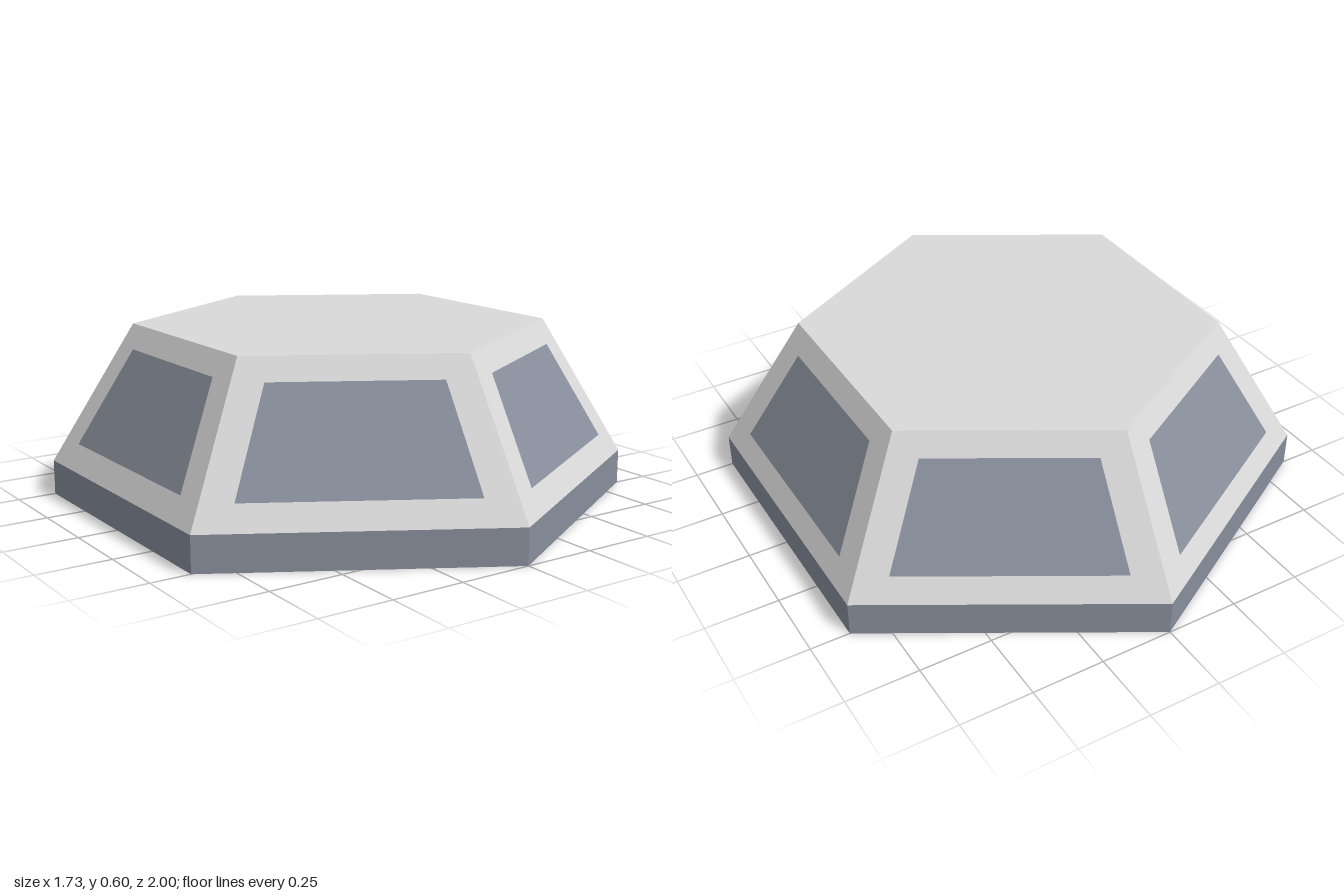
import * as THREE from 'three';

const SIDES = 6;
const RIM_Y = 0.12, TOP_Y = 0.6, TOP_R = 0.71;
const APOTHEM = Math.cos(Math.PI / SIDES);

// Hexagonal shell from a bottom-to-top profile, with crisp facets
function hexShell(points) {
  const profile = points.map(([r, y]) => new THREE.Vector2(r, y));
  const geometry = new THREE.LatheGeometry(profile, SIDES).toNonIndexed();
  geometry.computeVertexNormals();
  return geometry;
}

export function createModel() {
  const frameMat = new THREE.MeshStandardMaterial({ name: 'light grey', color: 0xd9d9d9, flatShading: true });
  const slateMat = new THREE.MeshStandardMaterial({ name: 'slate grey', color: 0x888f9c, flatShading: true });

  const model = new THREE.Group();
  model.name = 'hexagonalDome';
  const add = (parent, name, geometry, material) => {
    const mesh = new THREE.Mesh(geometry, material);
    mesh.name = name;
    parent.add(mesh);
    return mesh;
  };

  // Base slab with its underside, then the sloped frame and flat roof
  add(model, 'base', hexShell([[0, 0], [1, 0], [1, RIM_Y]]), slateMat);
  add(model, 'frame', hexShell([[1, RIM_Y], [TOP_R, TOP_Y], [0, TOP_Y]]), frameMat);

  // Window panel, drawn in the plane of a sloped side with y running up the slope
  const inset = APOTHEM * (1 - TOP_R);
  const tilt = Math.atan2(inset, TOP_Y - RIM_Y);
  const low = 0.08 / Math.cos(tilt), high = 0.405 / Math.cos(tilt);
  const outline = new THREE.Shape([
    new THREE.Vector2(-0.37, low), new THREE.Vector2(0.37, low),
    new THREE.Vector2(0.275, high), new THREE.Vector2(-0.275, high),
  ]);
  const panel = new THREE.ShapeGeometry(outline);
  panel.translate(0, 0, 0.003);
  panel.rotateX(-tilt);
  panel.translate(0, RIM_Y, APOTHEM);

  // One window on every side
  const windows = new THREE.Group();
  windows.name = 'windows';
  model.add(windows);
  for (let i = 0; i < SIDES; i++) {
    const pane = add(windows, `window${i + 1}`, panel, slateMat);
    pane.rotation.y = ((i + 0.5) / SIDES) * Math.PI * 2;
  }
  return model;
}
